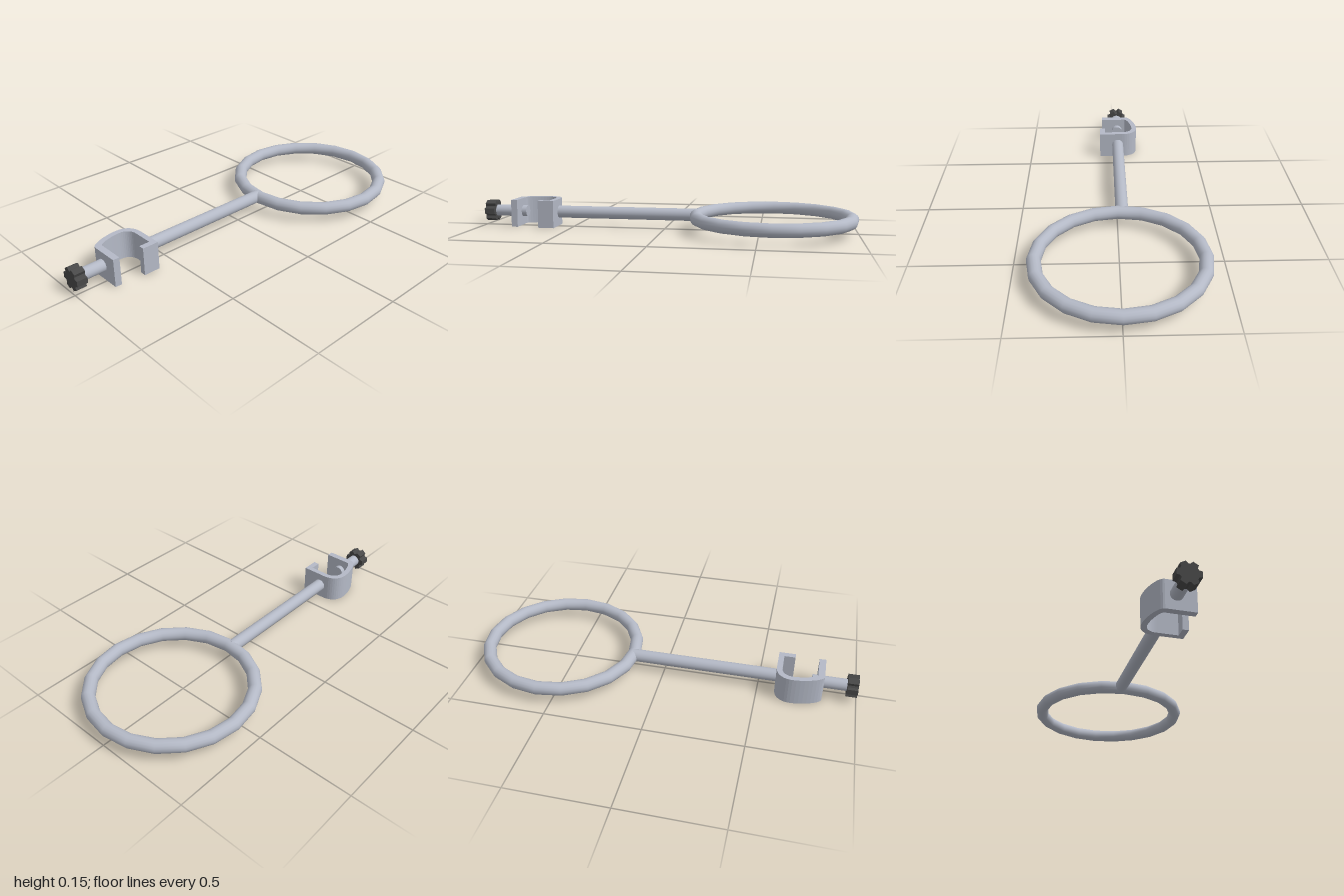
import * as THREE from 'three';

export function createModel() {
  const model = new THREE.Group();
  const steel = new THREE.MeshStandardMaterial({ color: 0xb4b9c6 });
  steel.name = 'steel grey';
  const rubber = new THREE.MeshStandardMaterial({ color: 0x484848 });
  rubber.name = 'dark grey';

  const axisY = 0.076, axisZ = -0.023;

  const add = (name, geometry, material) => {
    const mesh = new THREE.Mesh(geometry, material);
    mesh.name = name;
    model.add(mesh);
    return mesh;
  };

  // Round bar lying along x
  const bar = (name, x0, x1, radius) => {
    const geo = new THREE.CylinderGeometry(radius, radius, x1 - x0, 24).rotateZ(Math.PI / 2);
    add(name, geo, steel).position.set((x0 + x1) / 2, axisY, axisZ);
  };

  // Support ring, lying flat
  const ring = new THREE.TorusGeometry(0.399, 0.034, 16, 20).rotateX(Math.PI / 2);
  add('ring', ring, steel).position.set(0.567, 0.074, -0.002);

  bar('rod', -0.605, 0.17, 0.033);
  bar('clampScrew', -0.955, -0.77, 0.031);

  // Hooked clamp: outline drawn as (x, -z), then extruded upward
  const outline = new THREE.Shape();
  outline.moveTo(-0.83, -0.07);
  outline.lineTo(-0.83, 0.075);
  outline.bezierCurveTo(-0.83, 0.105, -0.74, 0.137, -0.675, 0.137);
  outline.bezierCurveTo(-0.62, 0.137, -0.59, 0.1, -0.59, 0.05);
  outline.lineTo(-0.59, -0.083);
  outline.lineTo(-0.675, -0.083);
  outline.lineTo(-0.675, -0.053);
  outline.lineTo(-0.618, -0.053);
  outline.lineTo(-0.618, 0.05);
  outline.bezierCurveTo(-0.618, 0.085, -0.64, 0.109, -0.675, 0.109);
  outline.bezierCurveTo(-0.725, 0.109, -0.796, 0.085, -0.796, 0.07);
  outline.lineTo(-0.796, -0.07);
  outline.closePath();
  const clamp = new THREE.ExtrudeGeometry(outline, { depth: 0.146, bevelEnabled: false, curveSegments: 10 });
  add('clamp', clamp.rotateX(-Math.PI / 2), steel);

  // Six-lobed knob: flat lobe tips with notches between them
  const knobShape = new THREE.Shape();
  for (let i = 0; i < 6; i++) {
    const a = i * Math.PI / 3;
    const corners = [[-0.25, 0.058], [0.25, 0.058], [0.41, 0.044], [0.637, 0.044]];
    corners.forEach(([da, r], k) => {
      const x = r * Math.cos(a + da), y = r * Math.sin(a + da);
      if (i === 0 && k === 0) knobShape.moveTo(x, y);
      else knobShape.lineTo(x, y);
    });
  }
  knobShape.closePath();
  const knob = new THREE.ExtrudeGeometry(knobShape, { depth: 0.055, bevelEnabled: false });
  add('knob', knob.rotateY(Math.PI / 2), rubber).position.set(-1, axisY, axisZ);

  return model;
}
